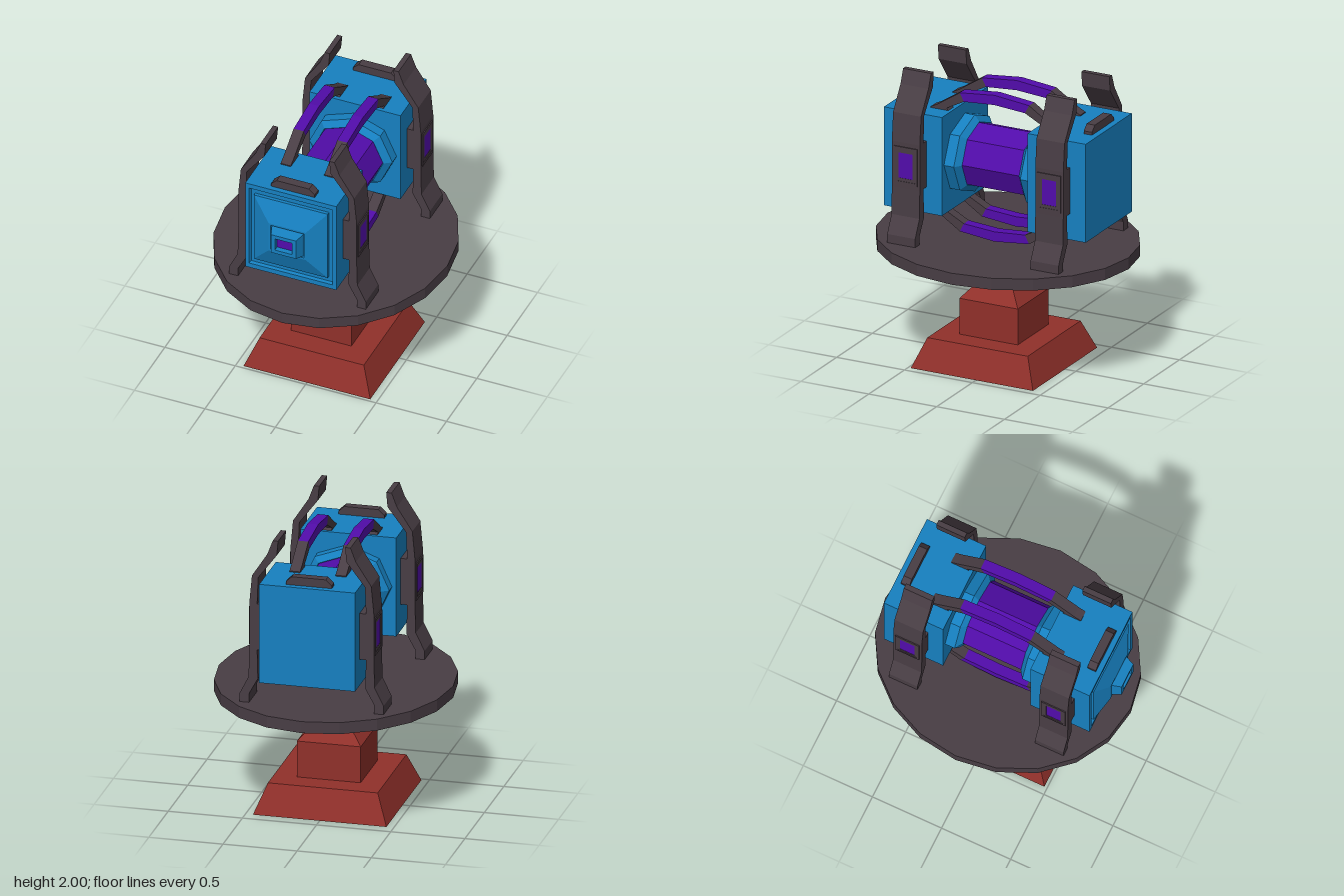
import * as THREE from 'three';

const mat = (color, side = THREE.FrontSide) =>
  new THREE.MeshStandardMaterial({ color, side, flatShading: true });
const BLUE = mat(0x1680c0), DARK = mat(0x483d44), PURPLE = mat(0x520cab);
const RED = mat(0x90302a, THREE.DoubleSide);
const CY = 1.39; // height of the machine's axis

const SQUARE = [[1, 1], [-1, 1], [-1, -1], [1, -1]];
const OCTAGON = Array.from({ length: 8 }, (_, i) =>
  [Math.cos(i * Math.PI / 4), Math.sin(i * Math.PI / 4)]);

// Skins an outline through sections [z, halfWidth, halfHeight] along +z
function loft(outline, sections) {
  const pos = [];
  const at = ([z, rx, ry], i) => {
    const p = outline[i % outline.length];
    return [p[0] * rx, p[1] * ry, z];
  };
  for (let s = 0; s < sections.length - 1; s++) {
    const lo = sections[s], hi = sections[s + 1];
    for (let i = 0; i < outline.length; i++) {
      const a = at(lo, i), b = at(lo, i + 1), c = at(hi, i + 1), d = at(hi, i);
      if (lo[1] > 0) pos.push(...a, ...b, ...c);
      if (hi[1] > 0) pos.push(...a, ...c, ...d);
      else if (lo[1] > 0) continue;
    }
  }
  const g = new THREE.BufferGeometry();
  g.setAttribute('position', new THREE.Float32BufferAttribute(pos, 3));
  g.computeVertexNormals();
  return g;
}

// Extrudes an outline, centred on its depth
function slab(points, depth, hole) {
  const shape = new THREE.Shape(points.map(p => new THREE.Vector2(...p)));
  if (hole) shape.holes.push(new THREE.Path(hole.map(p => new THREE.Vector2(...p))));
  return new THREE.ExtrudeGeometry(shape, { depth, bevelEnabled: false }).translate(0, 0, -depth / 2);
}

const rect = (w, h) => SQUARE.map(([x, y]) => [x * w, y * h]);

export function createModel() {
  const root = new THREE.Group();
  const add = (name, geometry, material, x = 0, y = 0, z = 0) => {
    const m = new THREE.Mesh(geometry, material);
    m.name = name;
    m.position.set(x, y, z);
    root.add(m);
    return m;
  };

  // Hollow stepped pedestal, open underneath
  add('pedestal', loft(SQUARE, [
    [0, 0.45, 0.45], [0.2, 0.37, 0.37], [0.2, 0.215, 0.215],
    [0.45, 0.215, 0.215], [0.54, 0.132, 0.137], [0.78, 0.13, 0.137],
  ]).rotateX(-Math.PI / 2), RED, 0, 0, 0.03);

  // Oval platform
  const platform = add('platform', new THREE.CylinderGeometry(1, 1, 0.08, 20), DARK, 0, 0.82, 0);
  platform.scale.set(0.79, 1, 0.888);

  // Front block with recessed border, raised pyramid and hollow nozzle
  add('frontBlock', loft(SQUARE, [
    [0.317, 0, 0], [0.317, 0.323, 0.343], [0.745, 0.323, 0.343], [0.745, 0.296, 0.308],
    [0.722, 0.29, 0.302], [0.722, 0.262, 0.262], [0.745, 0.262, 0.262],
    [0.805, 0.132, 0.112], [0.805, 0.118, 0.098], [0.79, 0.112, 0.09], [0.805, 0.11, 0.086],
    [0.865, 0.088, 0.073], [0.865, 0.062, 0.046], [0.82, 0.06, 0.044],
  ]), BLUE, 0, CY, 0);
  add('nozzleCore', new THREE.BoxGeometry(0.13, 0.1, 0.02), PURPLE, 0, CY, 0.82);

  // Plain rear block
  add('rearBlock', new THREE.BoxGeometry(0.646, 0.686, 0.428), BLUE, 0, CY, -0.528);

  // Central core and the chamfered collars that hold it
  add('core', loft(OCTAGON, [[-0.25, 0.24, 0.22], [0.25, 0.24, 0.22]]), PURPLE, 0, CY, 0);
  for (const s of [1, -1]) {
    const collar = add(s > 0 ? 'frontCollar' : 'rearCollar', loft(OCTAGON, [
      [-0.32, 0.295, 0.267], [-0.245, 0.295, 0.267], [-0.21, 0.245, 0.225], [-0.235, 0.22, 0.2],
    ]), BLUE, 0, CY, 0);
    if (s > 0) collar.rotation.y = Math.PI;
  }

  // Arched bars above and below, purple in the middle
  const middle = [[-0.255, 1.873], [0, 1.9], [0.255, 1.873], [0.225, 1.815], [0, 1.832], [-0.225, 1.815]];
  const end = [[0.255, 1.873], [0.42, 1.765], [0.47, 1.74], [0.47, 1.715], [0.33, 1.715], [0.35, 1.75], [0.225, 1.815]];
  for (const x of [0.155, -0.155]) {
    for (const up of [1, -1]) {
      const place = (pts, dir) => slab(
        pts.map(([z, y]) => [z * dir, (y - CY) * up]), 0.072).rotateY(-Math.PI / 2);
      add('archMiddle', place(middle, 1), PURPLE, x, CY, 0);
      for (const dir of [1, -1]) add('archEnd', place(end, dir), DARK, x, CY, 0);
    }
  }

  // Small bevelled grips on top of the blocks
  const grip = [[-0.155, 0], [0.155, 0], [0.155, 0.02], [0.115, 0.057], [-0.115, 0.057], [-0.155, 0.02]];
  for (const z of [0.68, -0.67]) add('topGrip', slab(grip, 0.06), DARK, 0, 1.733, z);

  // Four bent uprights, each with a pad and a framed purple window
  const upright = [
    [0.485, 0.86], [0.485, 0.92], [0.425, 1.04], [0.42, 1.23], [0.42, 1.55], [0.402, 1.745],
    [0.298, 1.905], [0.262, 2], [0.226, 2], [0.235, 1.9], [0.36, 1.735],
    [0.367, 1.55], [0.367, 1.23], [0.362, 1.03], [0.422, 0.92], [0.422, 0.86],
  ];
  for (const z of [0.532, -0.525]) {
    for (const s of [1, -1]) {
      add('upright', slab(upright.map(([x, y]) => [x * s, y]), 0.206), DARK, 0, 0, z);
      add('uprightPad', new THREE.BoxGeometry(0.07, 0.32, 0.206), DARK, s * 0.345, CY, z);
      const frame = (w, h, iw, ih, t) => slab(rect(w, h), t, rect(iw, ih)).rotateY(Math.PI / 2);
      add('windowFrame', frame(0.086, 0.13, 0.07, 0.11, 0.014), DARK, s * 0.42, CY, z);
      add('windowInnerFrame', frame(0.07, 0.11, 0.052, 0.088, 0.008), DARK, s * 0.42, CY, z);
      add('window', new THREE.BoxGeometry(0.004, 0.176, 0.104), PURPLE, s * 0.42, CY, z);
    }
  }
  return root;
}
